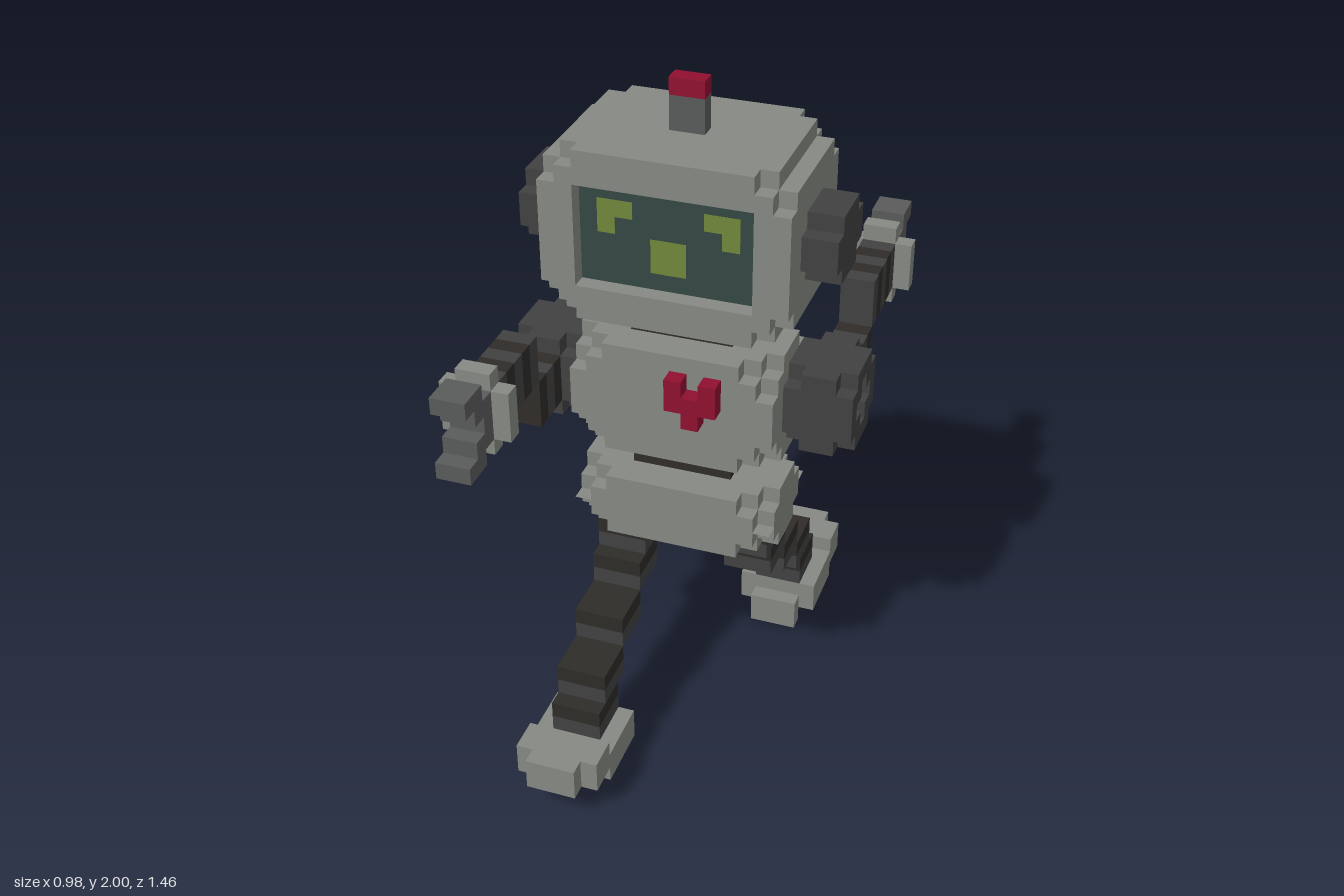
import * as THREE from 'three';

const V = 2 / 41; // size of one voxel; everything below is in voxels

const paint = (color) => new THREE.MeshStandardMaterial({ color, flatShading: true });
const shell = paint(0x868983), charcoal = paint(0x414141), rubber = paint(0x2f2c28);
const metal = paint(0x595b5a), red = paint(0x901030), glass = paint(0x334744), glow = paint(0x71883a);

function add(parent, name, geometry, material) {
  const mesh = new THREE.Mesh(geometry, material);
  mesh.name = name;
  parent.add(mesh);
  return mesh;
}

// Box given by its lower and upper limits on each axis
function box(parent, name, material, [x0, x1], [y0, y1], [z0, z1]) {
  const g = new THREE.BoxGeometry(x1 - x0, y1 - y0, z1 - z0);
  g.translate((x0 + x1) / 2, (y0 + y1) / 2, (z0 + z1) / 2);
  return add(parent, name, g, material);
}

// Rectangle whose corners are cut into n voxel stairs
function steppedRect(w, h, n) {
  const X = w / 2, Y = h / 2;
  const corner = [[X, Y - n]];
  for (let k = 1; k <= n; k++) corner.push([X - k, Y - n + k - 1], [X - k, Y - n + k]);
  const points = [];
  [[1, 1], [-1, 1], [-1, -1], [1, -1]].forEach(([sx, sy], i) => {
    const c = corner.map(([x, y]) => new THREE.Vector2(x * sx, y * sy));
    points.push(...(i % 2 ? c.reverse() : c));
  });
  return new THREE.Shape(points);
}

// Stepped slab, extruded along z or along x
function slab(parent, name, material, n, xr, yr, zr, { alongX = false, hole = null } = {}) {
  const mid = (r) => (r[0] + r[1]) / 2, len = (r) => r[1] - r[0];
  const depth = len(alongX ? xr : zr);
  const shape = steppedRect(len(alongX ? zr : xr), len(yr), n);
  if (hole) shape.holes.push(hole);
  const g = new THREE.ExtrudeGeometry(shape, { depth, bevelEnabled: false });
  g.translate(0, 0, -depth / 2);
  if (alongX) g.rotateY(Math.PI / 2);
  g.translate(mid(xr), mid(yr), mid(zr));
  return add(parent, name, g, material);
}

// Block with nibbled corners: 2 stairs on the end layers, 1 on the next, least elsewhere
function nibbledBlock(parent, name, xr, yr, [z0, z1], least = 0, frontHole = null) {
  const group = new THREE.Group();
  group.name = name;
  parent.add(group);
  const cuts = [z0, z0 + 1, z0 + 2, z1 - 2, z1 - 1, z1];
  [2, 1, least, 1, 2].forEach((n, i) =>
    slab(group, name + 'Layer', shell, Math.max(n, least), xr, yr, [cuts[i], cuts[i + 1]],
      { hole: i === 4 ? frontHole : null }));
}

// Arm on the model's left, reaching backward
function buildArm(name) {
  const arm = new THREE.Group();
  arm.name = name;
  // shoulder with a plus-shaped recess on its outer face
  const plus = new THREE.Path(steppedRect(3, 3, 1).getPoints());
  slab(arm, 'shoulderInner', charcoal, 1, [6, 7], [20, 25], [-3, 2], { alongX: true });
  slab(arm, 'shoulder', charcoal, 0, [7, 9], [20, 25], [-3, 2], { alongX: true });
  slab(arm, 'shoulderCap', charcoal, 1, [9, 10], [20, 25], [-3, 2], { alongX: true, hole: plus });
  // ribbed upper arm, then the raised forearm
  for (let i = 0; i < 8; i++) {
    const y = i < 3 ? 21 : 24;
    box(arm, 'armRib', i % 2 ? charcoal : rubber, [7, 9], [y, y + 3], [-4 - i, -3 - i]);
  }
  // wrist plate and claw
  slab(arm, 'wristPlate', shell, 1, [6, 10], [23, 28], [-12, -11]);
  box(arm, 'clawBase', metal, [7, 9], [24, 27], [-13, -12]);
  for (const [inner, outer] of [[26, 27], [24, 23]]) {
    box(arm, 'clawKnuckle', metal, [7, 9], [inner, inner + 1], [-14, -13]);
    box(arm, 'clawFinger', metal, [7, 9], [outer, outer + 1], [-15, -13]);
  }
  return arm;
}

// Leg on the model's right, striding forward in steps
function buildLeg(name) {
  const leg = new THREE.Group();
  leg.name = name;
  [0, 1, 4, 7, 8].forEach((z, i) => {
    const top = 13 - 2 * i;
    box(leg, 'legRibUpper', rubber, [-5, -2], [top - 1, top], [z, z + 3]);
    box(leg, 'legRibLower', charcoal, [-5, -2], [top - 2, top - 1], [z, z + 3]);
  });
  box(leg, 'heel', shell, [-5, -2], [0, 2], [7, 8]);
  box(leg, 'sole', shell, [-6, -1], [1, 3], [8, 12]);
  box(leg, 'forefoot', shell, [-6, -1], [2, 4], [12, 14]);
  box(leg, 'toe', shell, [-5, -2], [2, 4], [14, 15]);
  return leg;
}

export function createModel() {
  const model = new THREE.Group();
  model.name = 'robot';
  model.scale.setScalar(V);

  // head with a recessed screen
  const opening = new THREE.Path(steppedRect(10, 6, 0).getPoints());
  nibbledBlock(model, 'head', [-7, 7], [28, 38], [-4, 5], 1, opening);
  box(model, 'screen', glass, [-5, 5], [30, 36], [3.5, 4.02]);
  for (const s of [-1, 1]) {
    const side = (a, b) => (s > 0 ? [a, b] : [-b, -a]);
    box(model, 'eyeTop', glow, side(2, 4), [34, 35], [3.6, 4.05]);
    box(model, 'eyeOuter', glow, side(3, 4), [33, 34], [3.6, 4.05]);
    slab(model, 'ear', charcoal, 1, side(7, 9), [31, 35], [-2, 3], { alongX: true });
  }
  box(model, 'mouth', glow, [-1, 1], [31, 33], [3.6, 4.05]);

  // antenna
  box(model, 'antenna', metal, [-1, 1], [38, 40], [0, 1]);
  box(model, 'antennaTip', red, [-1, 1], [40, 41], [0, 1]);

  // trunk
  box(model, 'neck', rubber, [-3, 3], [26, 28], [-2, 2]);
  nibbledBlock(model, 'chest', [-6, 6], [19, 26], [-3, 4]);
  box(model, 'waist', rubber, [-3, 3], [17, 19], [-2, 2]);
  nibbledBlock(model, 'pelvis', [-6, 6], [13, 17], [-3, 4]);

  // heart on the chest
  for (const [x, y, w] of [[0, 24, 1], [2, 24, 1], [0, 23, 3], [1, 22, 1]])
    box(model, 'heart', red, [x, x + w], [y, y + 1], [4, 5]);

  // limbs: each pair is the same part turned half a circle
  const leftArm = buildArm('leftArm'), rightArm = buildArm('rightArm');
  const rightLeg = buildLeg('rightLeg'), leftLeg = buildLeg('leftLeg');
  rightArm.rotation.y = leftLeg.rotation.y = Math.PI;
  leftLeg.position.z = 1;
  model.add(leftArm, rightArm, leftLeg, rightLeg);

  const root = new THREE.Group();
  root.name = 'model';
  root.add(model);
  return root;
}
